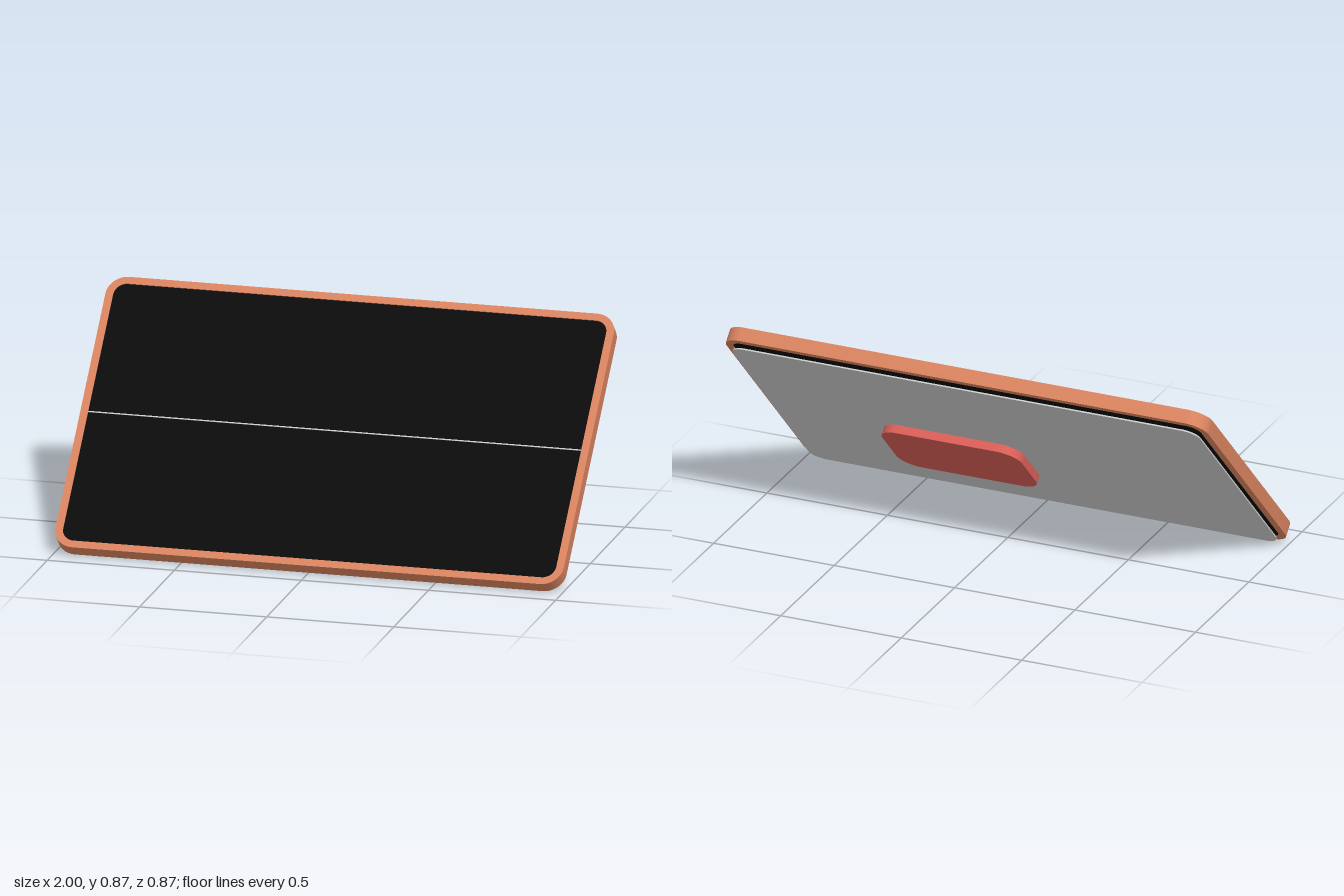
import * as THREE from 'three';
import { toCreasedNormals } from 'three/addons/utils/BufferGeometryUtils.js';

// Rounded rectangle centred on the origin
function roundedRect(target, w, h, r) {
  const x = w / 2 - r, y = h / 2 - r;
  target.absarc(x, y, r, 0, Math.PI / 2);
  target.absarc(-x, y, r, Math.PI / 2, Math.PI);
  target.absarc(-x, -y, r, Math.PI, Math.PI * 1.5);
  target.absarc(x, -y, r, Math.PI * 1.5, Math.PI * 2);
  target.closePath();
  return target;
}

// Rounded plate lying between two depths along the panel normal
function plate(name, shape, back, front, color) {
  const geo = new THREE.ExtrudeGeometry(shape, { depth: front - back, bevelEnabled: false, curveSegments: 12 });
  geo.translate(0, 0, back);
  const mesh = new THREE.Mesh(toCreasedNormals(geo, 0.6), new THREE.MeshStandardMaterial({ color }));
  mesh.name = name;
  return mesh;
}

export function createModel() {
  const model = new THREE.Group();
  model.name = 'tiltedPanel';

  // Everything is built flat in x/y, then leaned back 45 degrees
  const panel = new THREE.Group();
  panel.name = 'panel';
  panel.rotation.x = -Math.PI / 4;
  model.add(panel);

  const midY = 0.309, innerW = 1.94, innerH = 1.116;

  // Frame around the panel
  const frameShape = roundedRect(new THREE.Shape(), 2, 1.175, 0.08);
  frameShape.holes.push(roundedRect(new THREE.Path(), innerW, innerH, 0.05));
  const frame = plate('frame', frameShape, 0.283, 0.339, 0xd9835f);

  // Dark surface, slightly recessed, with a thin line across its middle
  const surface = plate('darkSurface', roundedRect(new THREE.Shape(), innerW, innerH, 0.05), 0.285, 0.335, 0x0b0b0b);
  const line = new THREE.Mesh(
    new THREE.BoxGeometry(innerW, 0.005, 0.004),
    new THREE.MeshStandardMaterial({ color: 0xcccccc })
  );
  line.name = 'centreLine';
  line.position.z = 0.335;

  // Thin sheet held just behind the frame
  const sheet = plate('backSheet', roundedRect(new THREE.Shape(), innerW, innerH, 0.06), 0.261, 0.267, 0xcccccc);

  for (const part of [frame, surface, line, sheet]) {
    part.position.y = midY;
    panel.add(part);
  }

  // Rounded box on the back
  const box = plate('backBox', roundedRect(new THREE.Shape(), 0.58, 0.349, 0.085), 0.228, 0.283, 0xd95f57);
  box.position.set(0.23, 0.139, 0);
  panel.add(box);

  return model;
}
